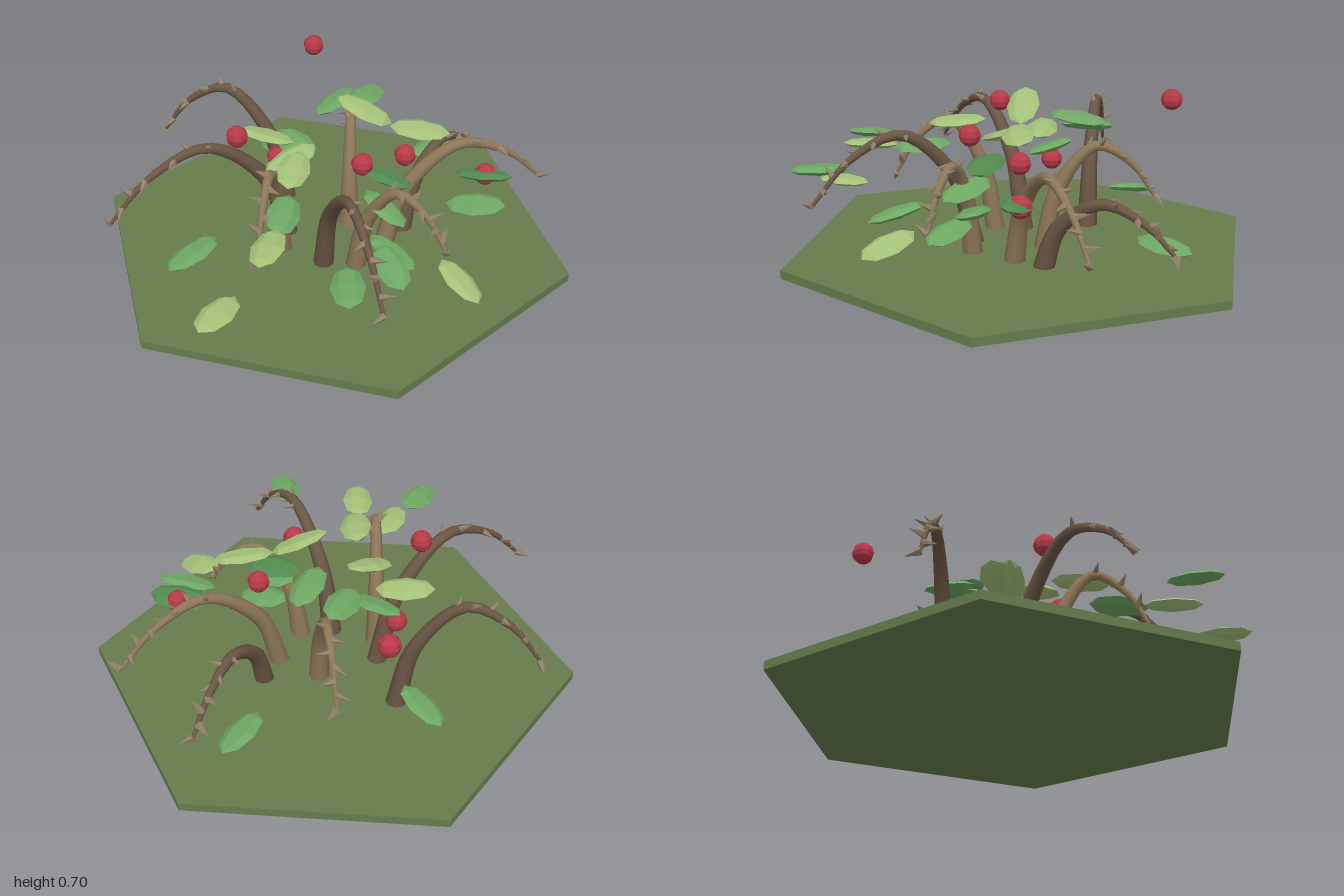
import * as THREE from 'three';

const mat = (color, flatShading = true) => new THREE.MeshStandardMaterial({ color, flatShading });
const GROUND = mat(0x667c4c), BERRY = mat(0xb83a48), THORN = mat(0x918068);
const DARK_BARK = mat(0x6b5745, false), PALE_BARK = mat(0x8f7858, false);
const UP = new THREE.Vector3(0, 1, 0);

let seed = 7;
const rand = () => (seed = (seed * 16807) % 2147483647) / 2147483647;

function add(parent, name, geometry, material, x = 0, y = 0, z = 0) {
  const mesh = new THREE.Mesh(geometry, material);
  mesh.name = name;
  mesh.position.set(x, y, z);
  parent.add(mesh);
  return mesh;
}

// Arching cane: rises steeply, bends over at its peak, droops to half that height
function caneCurve(bx, bz, peak, tx, tz) {
  const steps = [[0, 0.02], [0.13, 0.62], [0.46, 1], [0.78, 0.84], [1, 0.53]];
  return new THREE.CatmullRomCurve3(steps.map(([k, h]) =>
    new THREE.Vector3(bx + (tx - bx) * k, peak * h, bz + (tz - bz) * k)));
}

// Tube whose rings shrink towards the tip
function taperedTube(curve, r0, r1, segments = 20, sides = 8) {
  const geo = new THREE.TubeGeometry(curve, segments, 1, sides);
  const pos = geo.attributes.position, v = new THREE.Vector3();
  for (let i = 0; i <= segments; i++) {
    const t = i / segments, c = curve.getPointAt(t);
    for (let j = 0; j <= sides; j++) {
      const k = i * (sides + 1) + j;
      v.fromBufferAttribute(pos, k).sub(c).multiplyScalar(r0 + (r1 - r0) * t).add(c);
      pos.setXYZ(k, v.x, v.y, v.z);
    }
  }
  return geo;
}

// Cane with thorns alternating along its outer half
const thornGeo = new THREE.ConeGeometry(0.017, 0.065, 5).translate(0, 0.0325, 0);
function buildCane(parent, bark, curve) {
  const cane = new THREE.Group();
  cane.name = 'cane';
  parent.add(cane);
  add(cane, 'stem', taperedTube(curve, 0.043, 0.007), bark);
  for (let i = 0; i < 8; i++) {
    const t = 0.56 + 0.44 * i / 7;
    const p = curve.getPointAt(t), along = curve.getTangentAt(t);
    const dir = new THREE.Vector3().crossVectors(along, UP).normalize()
      .multiplyScalar((i % 2 ? 1 : -1) * (0.3 + 0.6 * rand()))
      .addScaledVector(UP, 0.9 * rand() - 0.2)
      .addScaledVector(along, 0.5 * rand() + 0.1).normalize();
    add(cane, 'thorn', thornGeo, THORN, p.x, p.y, p.z).quaternion.setFromUnitVectors(UP, dir);
  }
}

// Leaf: faceted, flattened pod pointing along its heading (degrees) and dipping at the tip
const leafGeo = new THREE.SphereGeometry(0.5, 6, 4).rotateX(Math.PI / 2);
function buildLeaf(parent, material, x, y, z, heading, dip = 0.09) {
  const leaf = add(parent, 'leaf', leafGeo, material, x, y, z);
  leaf.rotation.set(dip, THREE.MathUtils.degToRad(heading), 0.5 * (rand() - 0.5), 'YXZ');
  leaf.scale.set(0.13, 0.042, 0.24);
}

export function createModel() {
  const model = new THREE.Group();
  model.name = 'berryBush';

  // Hexagonal patch of ground
  const ground = add(model, 'ground', new THREE.CylinderGeometry(1, 1, 0.035, 6), GROUND, 0, 0.0175, -0.044);
  ground.rotation.y = Math.PI / 6;

  // Canes: base x, base z, peak height, tip x, tip z
  const darkCane = (...c) => buildCane(model, DARK_BARK, caneCurve(...c));
  const paleCane = (...c) => buildCane(model, PALE_BARK, caneCurve(...c));
  darkCane(-0.27, -0.28, 0.53, -0.83, -0.28);
  darkCane(-0.18, -0.02, 0.53, -0.76, 0.46);
  darkCane(0.02, 0.15, 0.52, 0.41, 0.71);
  darkCane(0.27, -0.17, 0.33, 0.47, -0.7);
  paleCane(-0.17, 0.1, 0.51, -0.13, 0.52);
  paleCane(0.15, 0.13, 0.44, 0.54, 0.22);
  paleCane(0.22, -0.05, 0.46, 0.8, -0.42);
  paleCane(0.05, -0.14, 0.46, -0.06, -0.58);

  // Leaves: x, y, z, heading and, where it differs, dip
  const pale = mat(0xa3c178), green = mat(0x6ea763), deep = mat(0x528a50);
  const paleLeaf = (...l) => buildLeaf(model, pale, ...l);
  const greenLeaf = (...l) => buildLeaf(model, green, ...l);
  const deepLeaf = (...l) => buildLeaf(model, deep, ...l);
  paleLeaf(-0.29, 0.45, -0.08, 87);
  paleLeaf(0.13, 0.645, -0.07, 95, 0.42);
  paleLeaf(-0.14, 0.45, 0.07, -43, 0.3);
  paleLeaf(-0.07, 0.52, 0.24, 6);
  paleLeaf(-0.055, 0.41, 0.61, 3, 0);
  paleLeaf(-0.2, 0.2, 0.78, -14, 0);
  paleLeaf(0.62, 0.21, 0.35, 49, 0.25);
  paleLeaf(0.35, 0.58, -0.09, 101);
  greenLeaf(0.3, 0.16, -0.645, 153);
  greenLeaf(-0.38, 0.18, -0.46, 39, -0.15);
  greenLeaf(-0.06, 0.53, -0.3, -21);
  greenLeaf(0.075, 0.59, -0.28, 165);
  greenLeaf(-0.18, 0.4, -0.13, 53);
  greenLeaf(-0.065, 0.41, 0.39, 6);
  greenLeaf(-0.32, 0.39, 0.69, -24);
  greenLeaf(0.28, 0.385, 0.72, 18, 0);
  greenLeaf(0.36, 0.25, 0.39, 37, 0.2);
  greenLeaf(0.61, 0.35, 0.03, 87, -0.15);
  greenLeaf(0.27, 0.33, 0.13, 53, 0.2);
  greenLeaf(0.32, 0.17, 0.19, 60, 0.2);
  deepLeaf(0.61, 0.39, -0.13, 87, -0.1);
  deepLeaf(0.25, 0.43, 0.055, 72);

  // Berries
  const berryGeo = new THREE.SphereGeometry(0.045, 8, 6);
  const berry = (x, y, z) => add(model, 'berry', berryGeo, BERRY, x, y, z);
  berry(-0.25, 0.605, -0.625);
  berry(-0.345, 0.55, 0.115);
  berry(0.175, 0.525, 0.135);
  berry(0.295, 0.455, -0.085);
  berry(0.615, 0.385, -0.145);
  berry(-0.26, 0.325, -0.125);

  return model;
}
